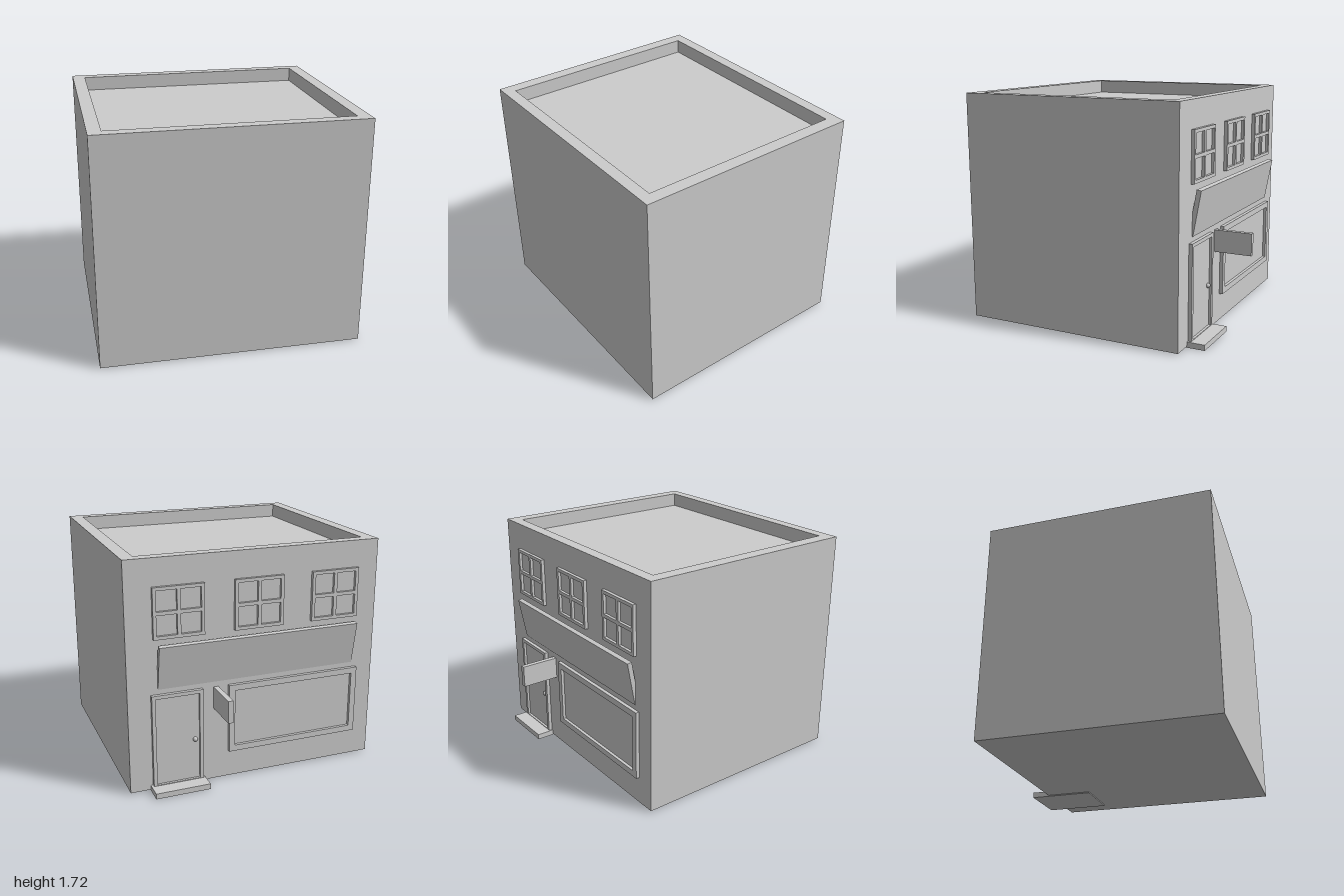
import * as THREE from 'three';

const WALL = -0.715; // plane of the shop facade
const material = new THREE.MeshStandardMaterial({ color: 0xcccccc });

function add(parent, name, geometry) {
  const mesh = new THREE.Mesh(geometry, material);
  mesh.name = name;
  parent.add(mesh);
  return mesh;
}

// Box given by its limits on each axis
function box(parent, name, [x0, x1], [y0, y1], [z0, z1]) {
  const mesh = add(parent, name, new THREE.BoxGeometry(x1 - x0, y1 - y0, z1 - z0));
  mesh.position.set((x0 + x1) / 2, (y0 + y1) / 2, (z0 + z1) / 2);
  return mesh;
}

function rectangle(Type, x0, x1, y0, y1) {
  return new Type([[x0, y0], [x1, y0], [x1, y1], [x0, y1]].map(p => new THREE.Vector2(...p)));
}

// Facade frame with a cols x rows grid of openings
function frame(parent, name, [x0, x1], [y0, y1], depth, border, cols = 1, rows = 1, bar = 0) {
  const shape = rectangle(THREE.Shape, x0, x1, y0, y1);
  const w = (x1 - x0 - 2 * border - (cols - 1) * bar) / cols;
  const h = (y1 - y0 - 2 * border - (rows - 1) * bar) / rows;
  for (let i = 0; i < cols; i++) {
    for (let j = 0; j < rows; j++) {
      const x = x0 + border + i * (w + bar);
      const y = y0 + border + j * (h + bar);
      shape.holes.push(rectangle(THREE.Path, x, x + w, y, y + h));
    }
  }
  const mesh = add(parent, name, new THREE.ExtrudeGeometry(shape, { depth, bevelEnabled: false }));
  mesh.position.z = WALL - depth;
  return mesh;
}

export function createModel() {
  const model = new THREE.Group();
  model.name = 'shopBuilding';

  // Outer walls rising into a parapet around the sunken flat roof
  const plan = rectangle(THREE.Shape, -0.965, 0.965, -1, -WALL);
  plan.holes.push(rectangle(THREE.Path, -0.87, 0.87, -0.915, 0.63));
  const walls = add(model, 'walls', new THREE.ExtrudeGeometry(plan, { depth: 1.712, bevelEnabled: false }));
  walls.rotation.x = -Math.PI / 2;
  walls.position.y = 0.008;
  box(model, 'roof', [-0.87, 0.87], [0.008, 1.615], [-0.63, 0.915]);

  // Three upper windows, four panes each
  for (const x of [-0.615, -0.015, 0.585]) {
    const upperWindow = new THREE.Group();
    upperWindow.name = 'upperWindow';
    frame(upperWindow, 'windowFrame', [x - 0.187, x + 0.187], [1.15, 1.52], 0.025, 0.024, 2, 2, 0.026);
    box(upperWindow, 'windowGlass', [x - 0.165, x + 0.165], [1.17, 1.5], [WALL - 0.004, WALL + 0.01]);
    model.add(upperWindow);
  }

  // Long board leaning out from the wall at the top
  const board = add(model, 'fasciaBoard', new THREE.BoxGeometry(1.533, 0.33, 0.035));
  board.position.set(-0.023, 0.945, -0.733);
  board.rotation.x = -0.18;

  // Display window
  const shopWindow = new THREE.Group();
  shopWindow.name = 'shopWindow';
  frame(shopWindow, 'shopWindowFrame', [-0.827, 0.215], [0.215, 0.74], 0.027, 0.045);
  box(shopWindow, 'shopWindowGlass', [-0.79, 0.18], [0.25, 0.705], [WALL - 0.004, WALL + 0.01]);
  model.add(shopWindow);

  // Door with frame and knob
  const door = new THREE.Group();
  door.name = 'door';
  frame(door, 'doorFrame', [0.415, 0.797], [0.02, 0.742], 0.027, 0.027);
  box(door, 'doorPanel', [0.44, 0.772], [0.04, 0.72], [WALL - 0.008, WALL + 0.01]);
  const knob = add(door, 'doorKnob', new THREE.SphereGeometry(0.018, 16, 12));
  knob.position.set(0.475, 0.357, -0.728);
  model.add(door);

  // Doorstep running a little way under the building
  box(model, 'doorstep', [0.403, 0.815], [0, 0.042], [-0.85, -0.36]);

  // Blank hanging sign beside the door
  box(model, 'hangingSign', [0.29, 0.328], [0.572, 0.738], [-1, WALL + 0.01]);

  return model;
}
